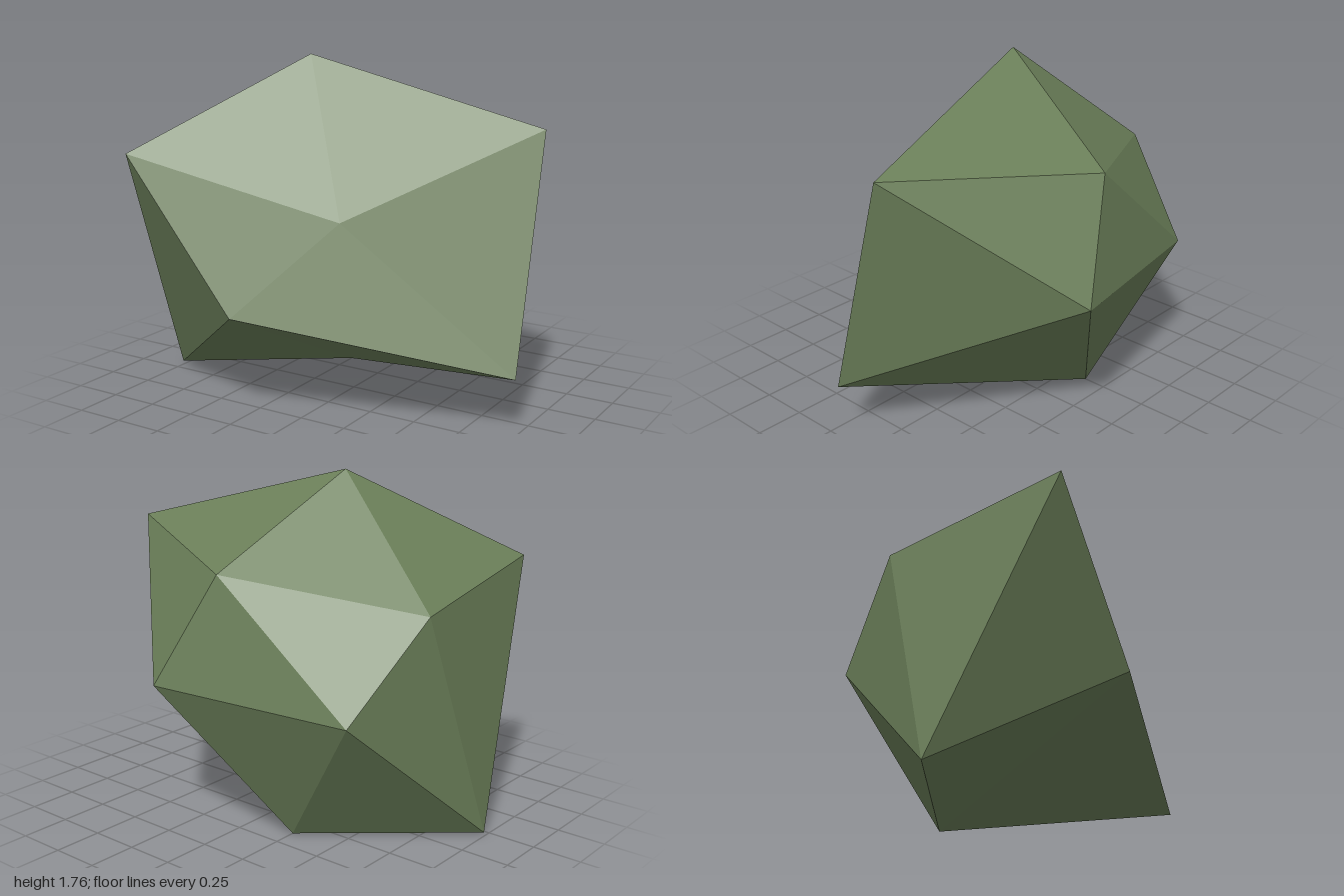
import * as THREE from 'three';

// Irregular faceted boulder: a peak, two rings of five corners and a base point.
const PEAK = [-0.19, 1.76, 0.10];
const UPPER = [
  [0.16, 0.99, 0.39], [-0.81, 1.30, 0.80], [-0.89, 1.18, -0.17],
  [-0.01, 1.33, -0.64], [0.98, 1.44, -0.14],
];
const LOWER = [
  [-0.24, 0.54, 0.75], [-1.00, 0.02, 0.20], [-0.74, 0.72, -0.59],
  [0.27, 0.77, -0.80], [1.00, 0.29, 0.17],
];
const BASE = [-0.25, 0.00, -0.38];

function boulderGeometry() {
  const corners = [];
  for (let i = 0; i < 5; i++) {
    const j = (i + 1) % 5;
    corners.push(
      PEAK, UPPER[j], UPPER[i],      // cap
      UPPER[i], UPPER[j], LOWER[i],  // band, pointing down
      LOWER[i], UPPER[j], LOWER[j],  // band, pointing up
      BASE, LOWER[i], LOWER[j],      // underside
    );
  }
  const geometry = new THREE.BufferGeometry();
  geometry.setAttribute('position', new THREE.Float32BufferAttribute(corners.flat(), 3));
  geometry.computeVertexNormals(); // unshared corners give flat facets
  return geometry;
}

export function createModel() {
  const mossGreen = new THREE.MeshStandardMaterial({ color: 0x6b7f59, flatShading: true });
  mossGreen.name = 'mossGreen';

  const boulder = new THREE.Mesh(boulderGeometry(), mossGreen);
  boulder.name = 'boulder';

  const model = new THREE.Group();
  model.name = 'rock';
  model.add(boulder);
  return model;
}
